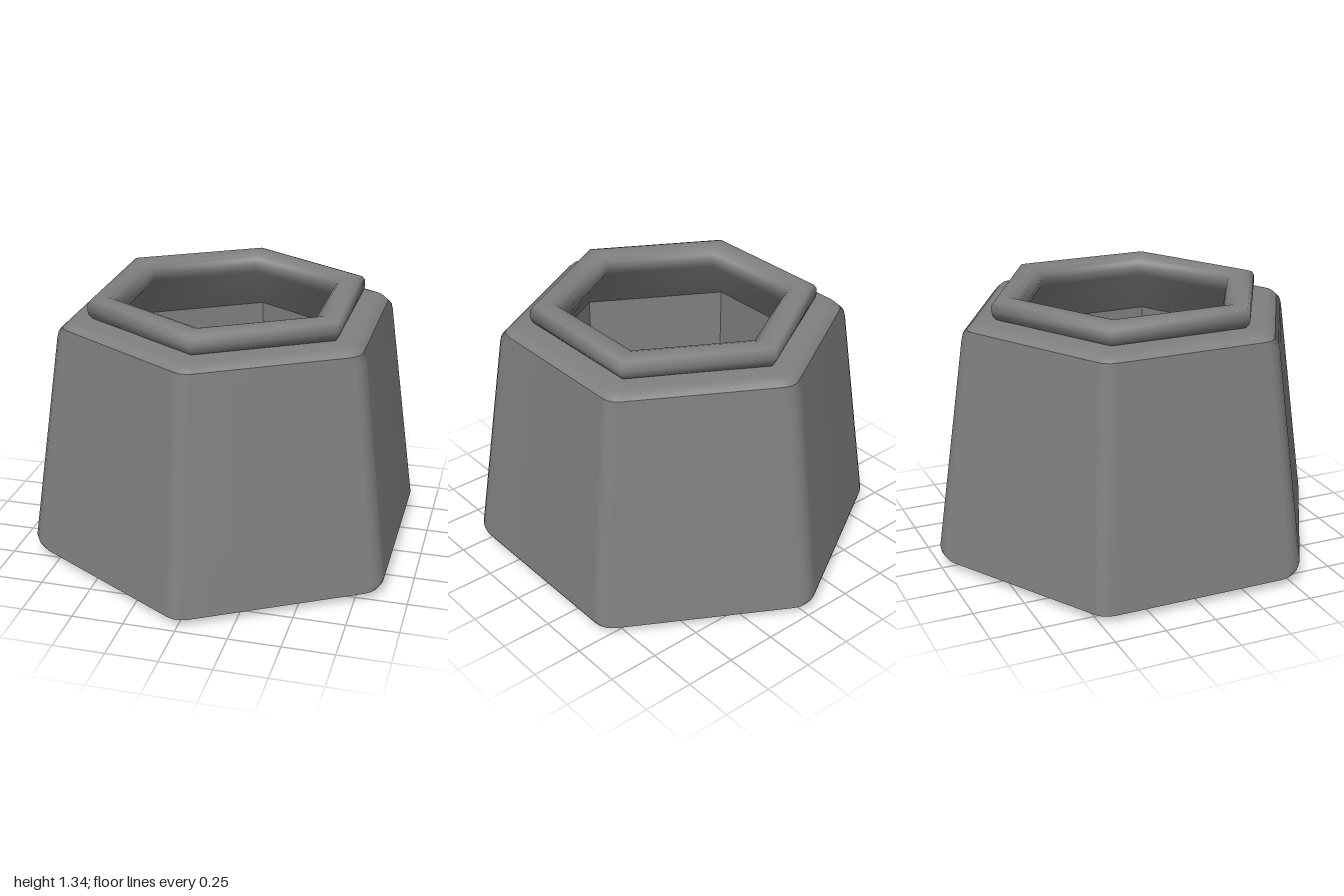
import * as THREE from 'three';
import { toCreasedNormals } from 'three/addons/utils/BufferGeometryUtils.js';

// Hexagonal outline with apothem a and corner radius r, corners on +z and -z
function hexRing(a, y, rounded) {
  const r = rounded ? Math.min(0.1, a * 0.12) : 0;
  const ring = [];
  for (let k = 0; k < 6; k++) {
    const corner = (k * Math.PI) / 3;
    const d = (a - r) / Math.cos(Math.PI / 6);
    const steps = rounded ? 3 : 0;
    for (let s = 0; s <= steps; s++) {
      const t = corner + (steps ? (s / steps - 0.5) * (Math.PI / 3) : 0);
      ring.push([d * Math.sin(corner) + r * Math.sin(t), y, d * Math.cos(corner) + r * Math.cos(t)]);
    }
  }
  return ring;
}

// Skin a profile of [apothem, height] pairs; an apothem of 0 closes to a point
function hexLoft(profile, rounded) {
  const positions = [];
  const index = [];
  profile.forEach(([a, y]) => hexRing(a, y, rounded).forEach((p) => positions.push(...p)));
  const n = rounded ? 24 : 6;
  for (let i = 0; i < profile.length - 1; i++) {
    for (let j = 0; j < n; j++) {
      const a = i * n + j;
      const b = i * n + ((j + 1) % n);
      if (profile[i][0] > 0) index.push(a, b, b + n);
      if (profile[i + 1][0] > 0) index.push(a, b + n, a + n);
    }
  }
  const geometry = new THREE.BufferGeometry();
  geometry.setAttribute('position', new THREE.Float32BufferAttribute(positions, 3));
  geometry.setIndex(index);
  geometry.computeVertexNormals();
  return geometry;
}

// Rounded loft whose bevels are shaded like its main face, given by one ring
function bevelledLoft(profile, mainRing) {
  const geometry = hexLoft(profile, true);
  const normals = geometry.attributes.normal;
  const main = normals.array.slice(mainRing * 72, mainRing * 72 + 72);
  profile.forEach((_, i) => normals.array.set(main, i * 72));
  return geometry;
}

export function createModel() {
  const model = new THREE.Group();
  model.name = 'hexagonalPot';
  const material = new THREE.MeshStandardMaterial({ color: 0x808080 });
  const add = (name, geometry) => {
    const mesh = new THREE.Mesh(geometry, material);
    mesh.name = name;
    model.add(mesh);
  };

  // Underside with a shallow faceted dimple
  add('dimple', toCreasedNormals(hexLoft([[0, 0.012], [0.24, 0.012], [0.47, 0]], false), 0.02));
  add('base', bevelledLoft([[0.46, 0], [0.8, 0.01], [0.85, 0.04]], 0));

  // Tapered outer wall with softened edges
  add('outerWall', bevelledLoft([[0.85, 0.04], [0.872, 0.075], [0.88, 0.11], [0.745, 1.15], [0.738, 1.18], [0.72, 1.2]], 2));

  // Shoulder running in under the rim
  add('shoulder', hexLoft([[0.72, 1.2], [0.7, 1.22], [0.67, 1.23], [0.56, 1.235]], true));

  // Rolled rim, running on inside into a flared neck
  const rim = [
    [0.56, 1.225], [0.585, 1.235], [0.6, 1.255], [0.605, 1.28], [0.602, 1.31], [0.59, 1.327],
    [0.565, 1.336], [0.525, 1.336], [0.495, 1.325], [0.476, 1.305], [0.468, 1.275], [0.478, 1.235], [0.61, 1.015],
  ];
  add('rim', hexLoft(rim, false));

  // Hollow inside with upright walls and a flat floor
  const cavity = [[0.61, 1.015], [0.605, 0.16], [0.585, 0.14], [0, 0.14]];
  add('cavity', toCreasedNormals(hexLoft(cavity, false), 0.5));

  return model;
}
